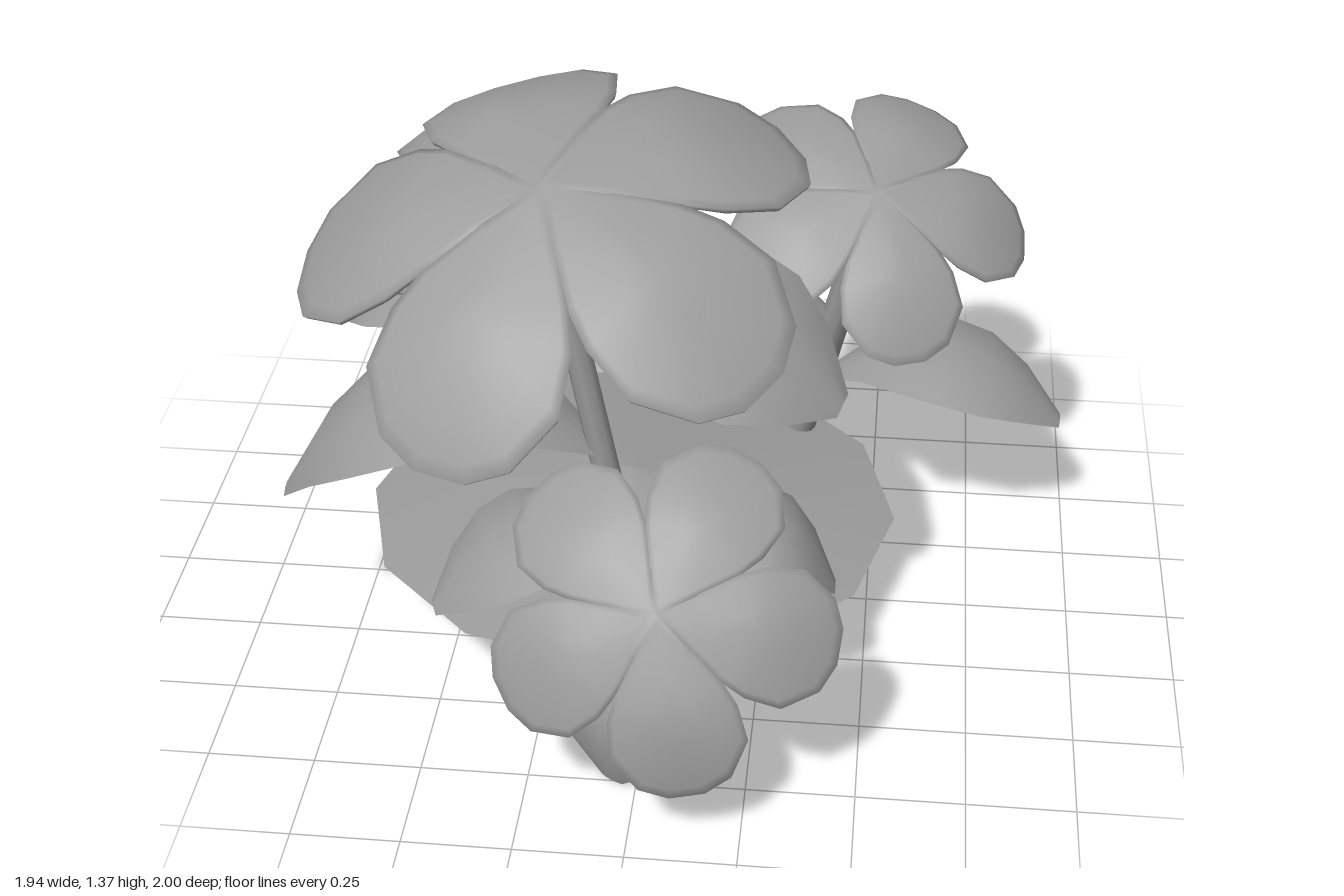
import * as THREE from 'three';

const material = new THREE.MeshStandardMaterial({ color: 0x9c9c9c, side: THREE.DoubleSide });
const V = (a) => new THREE.Vector3(...a);

function meshFrom(points, index, name) {
  const g = new THREE.BufferGeometry().setFromPoints(points);
  g.setIndex(index);
  g.computeVertexNormals();
  const m = new THREE.Mesh(g, material);
  m.name = name;
  return m;
}

// Petal of unit length along +x: puffed top with a lip turned under the rim
function petalMesh(droop) {
  const half = [[0.2, 0.15], [0.4, 0.295], [0.54, 0.36], [0.74, 0.385], [0.93, 0.26], [1, 0.1]];
  const outline = [[0, 0], ...half, ...half.map(([x, z]) => [x, -z]).reverse()];
  const n = outline.length, mid = 0.55;
  const rings = [[0.35, 0], [0.7, 0], [0.9, 0], [1, 0], [0.97, 0.03], [0.78, 0.035]];
  const at = (x, z, r, drop) =>
    new THREE.Vector3(x, -droop * x * x - 0.08 * r * r * Math.min(1, 1.6 * x) - drop * Math.min(1, 2 * x), z);
  const points = [at(mid, 0, 0, 0)], index = [];
  rings.forEach(([r, drop], k) => {
    outline.forEach(([x, z], i) => {
      points.push(at(mid + (x - mid) * r, z * r, k < 4 ? r : 1, drop));
      const j = (i + 1) % n, a = 1 + k * n + i, b = 1 + k * n + j;
      if (k === 0) index.push(0, b, a);
      else index.push(a - n, b - n, b, a - n, b, a);
    });
  });
  return meshFrom(points, index, 'petal');
}

// Five petals around a centre, the first one pointing along dir
function flowerHead({ center, normal, dir, size, droop }) {
  const head = new THREE.Group();
  head.name = 'flowerHead';
  const n = V(normal).normalize();
  const d = V(dir).projectOnPlane(n).normalize();
  head.quaternion.setFromRotationMatrix(new THREE.Matrix4().makeBasis(d, n, d.clone().cross(n)));
  head.position.copy(V(center));
  head.scale.setScalar(size);
  for (let i = 0; i < 5; i++) {
    const p = petalMesh(droop);
    p.rotation.y = (i * Math.PI * 2) / 5;
    head.add(p);
  }
  return head;
}

function stem(from, to, radius) {
  const a = V(from), b = V(to), d = b.clone().sub(a);
  const m = new THREE.Mesh(new THREE.CylinderGeometry(radius, radius * 1.15, d.length(), 8), material);
  m.position.copy(a).add(b).multiplyScalar(0.5);
  m.quaternion.setFromUnitVectors(new THREE.Vector3(0, 1, 0), d.normalize());
  m.name = 'stem';
  return m;
}

// Arched leaf folded along its midrib, swept from the stem to its tip and rolled about that line
function leaf({ from, to, half, arch, roll = 0 }) {
  const a = V(from), b = V(to), d = b.clone().sub(a).normalize();
  const side = d.clone().cross(new THREE.Vector3(0, 1, 0)).normalize().applyAxisAngle(d, roll);
  const up = side.clone().cross(d);
  const widths = [0.1, 0.5, 0.85, 1, 0.95, 0.65, 0.15];
  const points = [], index = [];
  widths.forEach((w, i) => {
    const t = i / (widths.length - 1);
    for (let s = -2; s <= 2; s++) {
      const u = s / 2;
      points.push(a.clone().lerp(b, t)
        .addScaledVector(up, arch * 4 * t * (1 - t) - 0.25 * half * w * u * u)
        .addScaledVector(side, half * w * u));
      if (i && s > -2) {
        const k = points.length - 1;
        index.push(k - 6, k - 5, k, k - 6, k, k - 1);
      }
    }
  });
  return meshFrom(points, index, 'leaf');
}

const plants = [
  { // tall plant
    name: 'largeFlower', root: [-0.05, 0.22, 0.31], radius: 0.03,
    head: { center: [-0.25, 1.32, 0.35], normal: [-0.13, 1, 0.38], dir: [-0.16, 0, -0.65], size: 0.61, droop: 0.36 },
    leaves: [
      { from: [-0.17, 1.04, 0.27], to: [0.43, 0.84, 0.4], half: 0.26, arch: 0.13, roll: 0.25 },
      { from: [-0.12, 0.63, 0.31], to: [-0.88, 0.48, 0.31], half: 0.3, arch: 0.27 },
    ],
  },
  { // low plant leaning forward
    name: 'frontFlower', root: [0.06, 0.23, 0.34], radius: 0.025,
    head: { center: [0.06, 0.58, 0.87], normal: [0, 0.6, 0.8], dir: [0.08, -0.35, 0.2], size: 0.395, droop: 0.3 },
    leaves: [
      { from: [0.06, 0.44, 0.46], to: [0.43, 0.38, 0.45], half: 0.19, arch: 0.16 },
      { from: [-0.02, 0.5, 0.45], to: [-0.48, 0.37, 0.61], half: 0.2, arch: 0.14 },
      { from: [0.05, 0.41, 0.58], to: [-0.06, 0.01, 0.75], half: 0.2, arch: 0.13 },
    ],
  },
  { // back plant on the +x side
    name: 'backLeftFlower', root: [0.3, 0.22, -0.46], radius: 0.035,
    head: { center: [0.48, 1.03, -0.26], normal: [0.17, 0.85, 0.48], dir: [0.08, 0, -0.4], size: 0.395, droop: 0.3 },
    leaves: [
      { from: [0.36, 0.42, -0.41], to: [0.97, 0.35, -0.36], half: 0.22, arch: 0.16 },
      { from: [0.38, 0.62, -0.37], to: [-0.12, 0.6, -0.32], half: 0.2, arch: 0.15 },
    ],
  },
  { // back plant on the -x side
    name: 'backRightFlower', root: [-0.46, 0.22, -0.59], radius: 0.04,
    head: { center: [-0.61, 0.92, -0.57], normal: [-0.38, 1, 0.1], dir: [-0.14, 0, -0.45], size: 0.43, droop: 0.18 },
    leaves: [
      { from: [-0.49, 0.4, -0.58], to: [-0.96, 0.35, -0.72], half: 0.2, arch: 0.13 },
      { from: [-0.51, 0.48, -0.52], to: [0.01, 0.4, -0.45], half: 0.17, arch: 0.15 },
    ],
  },
];

export function createModel() {
  const model = new THREE.Group();
  model.name = 'flowerPatch';

  // Shallow mound of earth
  const ground = new THREE.Mesh(new THREE.ConeGeometry(0.66, 0.11, 12), material);
  ground.position.set(-0.1, 0.265, -0.07);
  ground.name = 'mound';
  model.add(ground);

  for (const p of plants) {
    const plant = new THREE.Group();
    plant.name = p.name;
    const top = V(p.head.center).addScaledVector(V(p.head.normal).normalize(), -0.02).toArray();
    plant.add(stem(p.root, top, p.radius), flowerHead(p.head), ...p.leaves.map(leaf));
    model.add(plant);
  }
  return model;
}
